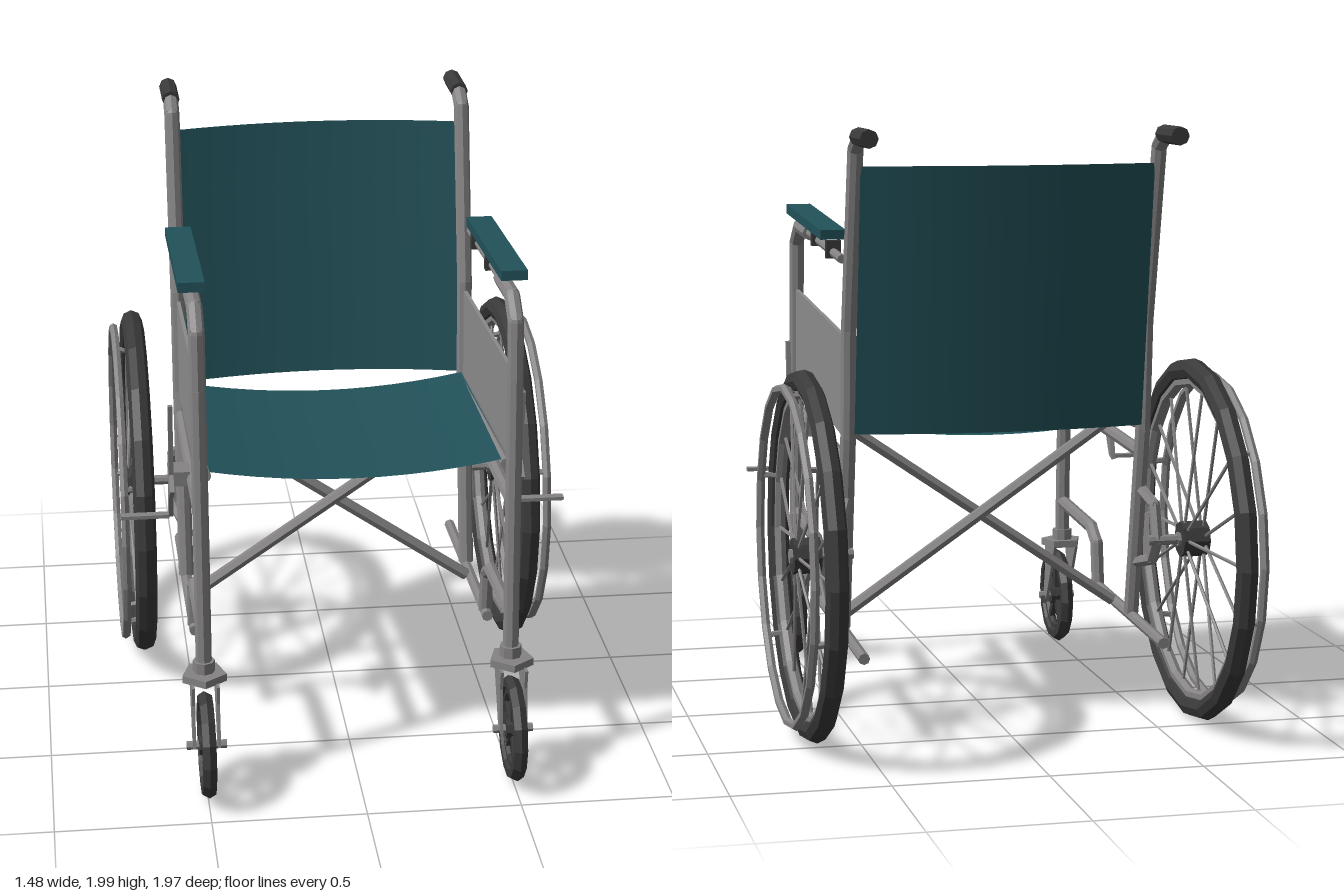
import * as THREE from 'three';

const mat = (name, color, extra = {}) => new THREE.MeshStandardMaterial({ name, color, ...extra });

export function createModel() {
  const flat = { flatShading: true };
  const fabric = mat('teal fabric', 0x22525a, { side: THREE.DoubleSide });
  const steel = mat('grey steel', 0x858384, flat);
  const panelGrey = mat('panel grey', 0x8c8c8c, { side: THREE.DoubleSide });
  const rubber = mat('black rubber', 0x3a3a3b, flat);

  const model = new THREE.Group();
  model.name = 'wheelchair';

  const add = (parent, name, geo, material, x = 0, y = 0, z = 0) => {
    const m = new THREE.Mesh(geo, material);
    m.name = name;
    m.position.set(x, y, z);
    parent.add(m);
    return m;
  };

  // Bent tube: straight cylinders with small round joints
  const tube = (parent, name, pts, r, material, sides = 8) => {
    const g = new THREE.Group();
    g.name = name;
    const v = pts.map(p => new THREE.Vector3(...p));
    for (let i = 0; i + 1 < v.length; i++) {
      const d = v[i + 1].clone().sub(v[i]);
      const c = add(g, name, new THREE.CylinderGeometry(r, r, d.length(), sides), material);
      c.position.copy(v[i]).addScaledVector(d, 0.5);
      c.quaternion.setFromUnitVectors(new THREE.Vector3(0, 1, 0), d.normalize());
      if (i > 0) add(g, name + 'Bend', new THREE.SphereGeometry(r, sides, 6), material, ...v[i].toArray());
    }
    parent.add(g);
    return g;
  };

  // Ring lying in the y-z plane
  const ring = (R, r, sides, segs) => new THREE.TorusGeometry(R, r, sides, segs).rotateY(Math.PI / 2);
  const disc = (r, w, sides) => new THREE.CylinderGeometry(r, r, w, sides).rotateZ(Math.PI / 2);

  // Flat plate drawn with [z, y] points, thickened along x
  const plate = (pts, t) => {
    const shape = new THREE.Shape(pts.map(p => new THREE.Vector2(p[0], p[1])));
    return new THREE.ExtrudeGeometry(shape, { depth: t, bevelEnabled: false })
      .translate(0, 0, -t / 2).rotateY(-Math.PI / 2);
  };

  // Sheet shaped by a rule; u runs -1..1 across, t runs 0..1 along
  const sheet = (rule) => {
    const g = new THREE.PlaneGeometry(2, 1, 12, 4);
    const p = g.attributes.position;
    for (let i = 0; i < p.count; i++) p.setXYZ(i, ...rule(p.getX(i), p.getY(i) + 0.5));
    g.computeVertexNormals();
    return g;
  };
  const bow = u => 1 - u * u;

  // Sling seat and back
  add(model, 'seat', sheet((u, t) => [0.485 * u, 1.02 + 0.065 * (1 - t) - 0.047 * bow(u), 0.67 - 0.94 * t]), fabric);
  add(model, 'backrest', sheet((u, t) => [0.485 * u, 1.0 + 0.875 * t, -0.335 - 0.13 * t - 0.06 * bow(u)]), fabric);

  // Folding cross brace
  for (const s of [-1, 1])
    tube(model, 'crossBrace', [[-0.48 * s, 1.0, -0.03 - 0.02 * s], [0.48 * s, 0.34, -0.03 - 0.02 * s]], 0.021, steel, 6);

  // Everything below is repeated on each side
  for (const s of [-1, 1]) {
    const side = new THREE.Group();
    side.name = s > 0 ? 'leftSide' : 'rightSide';
    model.add(side);
    const X = 0.5 * s;
    const path = (name, zy, r, x = X) => tube(side, name, zy.map(([z, y]) => [x, y, z]), r, steel);

    // Frame
    path('frontPostAndArmTube', [[0.74, 0.4], [0.695, 1.37], [0.68, 1.55], [0.6, 1.61], [0.4, 1.6]], 0.026);
    path('armTube', [[0.4, 1.6], [-0.21, 1.56]], 0.015);
    path('backPost', [[-0.18, 0.33], [-0.3, 0.98], [-0.325, 1.34], [-0.46, 1.93], [-0.53, 1.97]], 0.026);
    path('sideRail', [[0.71, 0.945], [-0.27, 0.9]], 0.022);
    path('seatRail', [[0.68, 1.07], [-0.28, 1.0]], 0.018, 0.48 * s);
    path('lowerRail', [[0.73, 0.56], [0.33, 0.535], [0.26, 0.49], [0.24, 0.34]], 0.023);
    path('bottomRail', [[0.29, 0.34], [-0.56, 0.305]], 0.019);
    tube(side, 'handGrip', [[X, 1.97, -0.51], [X, 1.97, -0.69]], 0.03, rubber);

    // Side panel and arm pad
    add(side, 'sidePanel', plate([[0.705, 1.38], [-0.32, 1.31], [-0.3, 0.97], [0.715, 1.08]], 0.012), panelGrey, X);
    add(side, 'armPad', new THREE.BoxGeometry(0.085, 0.032, 0.69), fabric, 0.508 * s, 1.652, 0.25).rotation.x = -0.06;
    for (const [z, y] of [[0.23, 1.6], [-0.05, 1.58]])
      add(side, 'armPadClip', new THREE.BoxGeometry(0.05, 0.06, 0.025), rubber, X, y, z);

    // Brake lever, mount and shoe
    add(side, 'brakeLever', plate([[0.45, 1.22], [0.43, 1.22], [0.4, 0.99], [0.36, 0.96], [0.31, 0.78],
      [0.345, 0.79], [0.4, 0.88], [0.47, 0.93], [0.42, 0.97]], 0.015), steel, 0.575 * s);
    add(side, 'brakeMount', new THREE.BoxGeometry(0.07, 0.05, 0.09), steel, 0.545 * s, 0.93, 0.32);
    add(side, 'brakeShoe', new THREE.BoxGeometry(0.16, 0.012, 0.03), steel, 0.66 * s, 0.79, 0.33);

    // Axle and its brackets
    tube(side, 'axle', [[X, 0.615, -0.375], [0.68 * s, 0.615, -0.375]], 0.018, steel);
    tube(side, 'upperAxleBracket', [[X, 0.78, -0.26], [0.53 * s, 0.73, -0.34], [0.53 * s, 0.615, -0.375]], 0.02, steel, 6);
    tube(side, 'lowerAxleBracket', [[X, 0.51, -0.21], [0.53 * s, 0.54, -0.32], [0.53 * s, 0.615, -0.375]], 0.02, steel, 6);

    // Rear wheel
    const wheel = new THREE.Group();
    wheel.name = 'rearWheel';
    wheel.position.set(0.655 * s, 0.615, -0.375);
    side.add(wheel);
    add(wheel, 'rearTyre', ring(0.57, 0.037, 8, 20), rubber);
    add(wheel, 'wheelRim', ring(0.532, 0.02, 6, 20), steel);
    add(wheel, 'handRim', ring(0.548, 0.015, 6, 20), steel, 0.065 * s);
    add(wheel, 'wheelHub', disc(0.06, 0.09, 8), rubber);
    add(wheel, 'hubCap', disc(0.025, 0.11, 6), steel);
    for (let i = 0; i < 18; i++) {
      const a = (i + 0.5) / 18 * Math.PI * 2, c = Math.cos(a), n = Math.sin(a);
      const lean = (i % 2 ? 1 : -1) * 0.03;
      tube(wheel, 'spoke', [[lean, 0.05 * c, 0.05 * n], [0, 0.52 * c, 0.52 * n]], 0.006, steel, 5);
      if (i % 3 === 0)
        tube(wheel, 'handRimStandoff', [[0, 0.532 * c, 0.532 * n], [0.065 * s, 0.545 * c, 0.545 * n]], 0.01, steel, 5);
    }

    // Front caster with fork
    const caster = new THREE.Group();
    caster.name = 'caster';
    caster.position.set(X, 0.19, 0.815);
    side.add(caster);
    add(caster, 'casterTyre', ring(0.15, 0.025, 6, 14), rubber);
    add(caster, 'casterRim', ring(0.122, 0.014, 6, 14), rubber);
    add(caster, 'casterHub', disc(0.034, 0.05, 8), rubber);
    add(caster, 'casterAxle', disc(0.014, 0.13, 6), steel);
    for (let i = 0; i < 5; i++) {
      const a = i / 5 * Math.PI * 2;
      const arm = add(caster, 'casterSpoke', new THREE.BoxGeometry(0.02, 0.11, 0.026), rubber,
        0, 0.07 * Math.cos(a), 0.07 * Math.sin(a));
      arm.rotation.x = a;
    }
    for (const e of [-1, 1])
      add(side, 'forkBlade', plate([[0.82, 0.395], [0.68, 0.395], [0.7, 0.36], [0.8, 0.175], [0.835, 0.185],
        [0.81, 0.33]], 0.01), steel, X + 0.04 * e);
    add(side, 'forkCrown', new THREE.CylinderGeometry(0.075, 0.075, 0.025, 5), steel, X, 0.405, 0.745);
    add(side, 'forkCollar', new THREE.CylinderGeometry(0.036, 0.036, 0.05, 8), steel, X, 0.43, 0.737);
  }
  return model;
}
